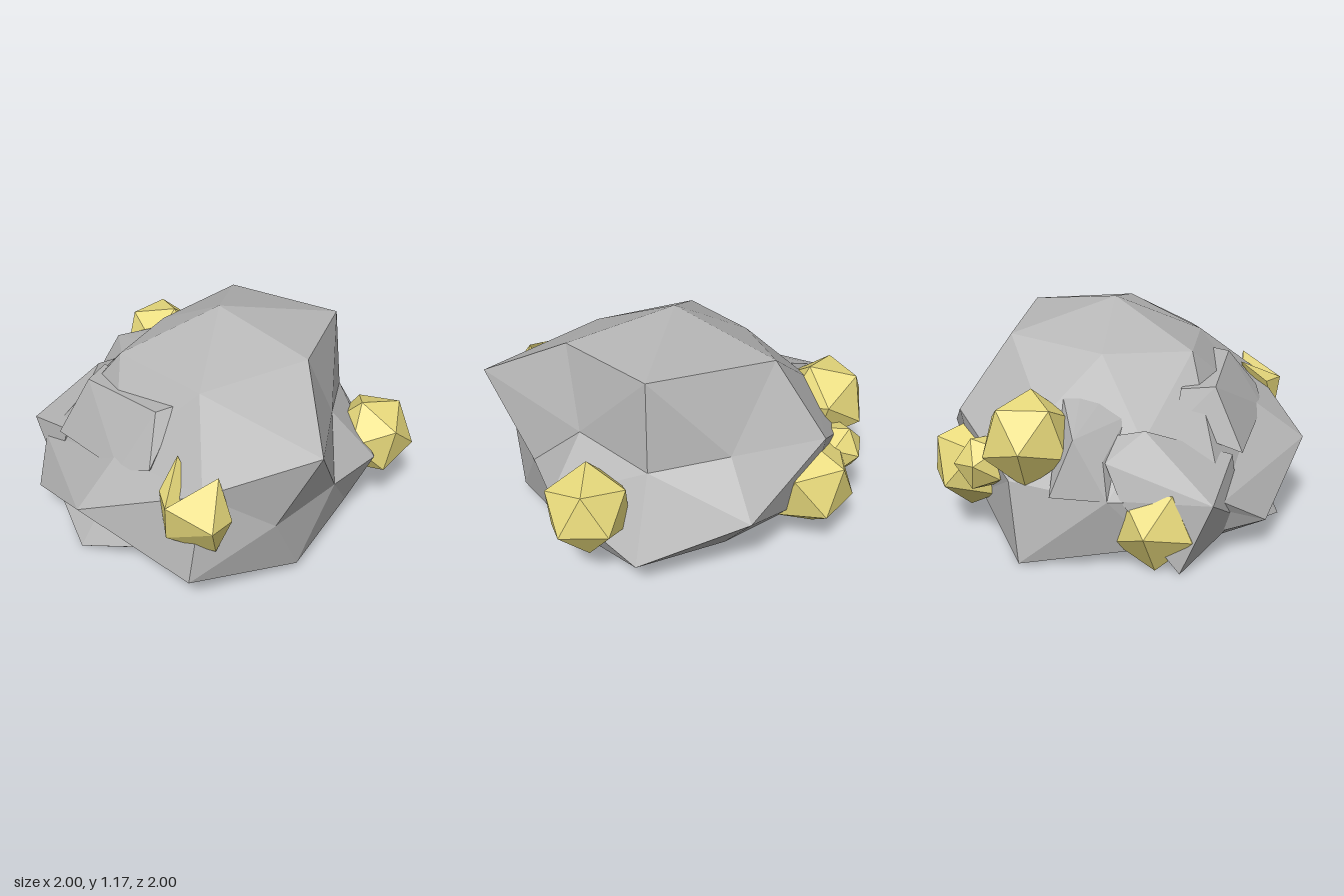
import * as THREE from 'three';
import { ConvexGeometry } from 'three/addons/geometries/ConvexGeometry.js';

const stone = new THREE.MeshStandardMaterial({ color: 0xb4b4b4, flatShading: true });
stone.name = 'grey stone';
const gold = new THREE.MeshStandardMaterial({ color: 0xe8da7c, flatShading: true });
gold.name = 'pale gold';

// Sculpted corners of the boulder, keyed by the direction (x10) of the sphere corner they replace
const CORNERS = {
  // crown
  '0,10,0': [0.02, 1.18, -0.05],
  '5,9,0': [0.62, 1.08, -0.05], '-5,9,0': [-0.41, 0.96, -0.05],
  '3,8,5': [0.3, 0.95, 0.4], '-3,8,5': [-0.28, 0.96, 0.4],
  '3,8,-5': [0.4, 1.08, -0.59], '-3,8,-5': [-0.32, 1.03, -0.55],
  // shoulders
  '0,5,9': [0.02, 0.61, 0.73], '0,5,-9': [0.02, 0.67, -0.76],
  '8,5,3': [0.99, 0.83, 0.29], '8,5,-3': [0.64, 0.68, -0.27],
  '-8,5,3': [-0.7, 0.6, 0.2], '-8,5,-3': [-0.7, 0.7, -0.3],
  '5,3,8': [0.61, 0.65, 0.71], '5,3,-8': [0.42, 0.61, -0.65],
  '-5,3,8': [-0.74, 0.33, 0.6], '-5,3,-8': [-0.5, 0.66, -0.79],
  // waist
  '0,0,10': [0.02, 0.42, 1], '0,0,-10': [0.02, 0.42, -1],
  '10,0,0': [0.84, 0.42, -0.05], '-10,0,0': [-0.92, 0.37, 0.06],
  '9,0,5': [0.83, 0.42, 0.42], '9,0,-5': [0.85, 0.42, -0.4],
  '-9,0,5': [-0.82, 0.35, 0.45], '-9,0,-5': [-0.85, 0.42, -0.44],
  // underside
  '5,-3,8': [0.61, 0.17, 0.81], '-5,-3,8': [-0.56, 0.17, 0.81],
  '5,-3,-8': [0.56, 0.2, -0.83], '-5,-3,-8': [-0.5, 0.2, -0.69],
  '0,-5,9': [0.02, 0.08, 0.74], '0,-5,-9': [0.02, 0.1, -0.72],
  '8,-5,3': [0.84, 0.07, 0.24], '8,-5,-3': [0.74, 0.12, -0.32],
  '-8,-5,3': [-0.84, 0.11, 0.28], '-8,-5,-3': [-0.93, 0.02, -0.38],
  // base
  '3,-8,5': [0.5, 0.02, 0.6], '-3,-8,5': [-0.45, 0.02, 0.58],
  '3,-8,-5': [0.38, 0.02, -0.6], '-3,-8,-5': [-0.38, 0.02, -0.55],
  '5,-9,0': [0.62, 0.02, 0.05], '-5,-9,0': [-0.6, 0.02, 0.02],
  '0,-10,0': [0.02, 0.02, 0],
};

function boulderGeometry() {
  const geo = new THREE.IcosahedronGeometry(1, 1);
  const p = geo.attributes.position;
  for (let i = 0; i < p.count; i++) {
    const key = [p.getX(i), p.getY(i), p.getZ(i)].map((v) => Math.round(v * 10)).join();
    p.setXYZ(i, ...CORNERS[key]);
  }
  geo.computeVertexNormals();
  return geo;
}

export function createModel() {
  const group = new THREE.Group();
  const add = (name, geo, mat) => {
    const mesh = new THREE.Mesh(geo, mat);
    mesh.name = name;
    group.add(mesh);
    return mesh;
  };
  const chunk = (name, mat, pts) =>
    add(name, new ConvexGeometry(pts.map((q) => new THREE.Vector3(...q))), mat);

  add('boulder', boulderGeometry(), stone);

  // Slab jutting from the front face
  chunk('frontSlab', stone, [
    [0.21, 0.87, 0.44], [0.16, 0.86, 0.57], [-0.4, 0.81, 0.53], [-0.46, 0.81, 0.36],
    [-0.56, 0.64, 0.34], [-0.5, 0.5, 0.68], [0.08, 0.57, 0.77], [0.27, 0.64, 0.73],
    [-0.2, 0.5, 0.4], [0.15, 0.6, 0.4],
  ]);
  // Low outcrop at the front corner
  chunk('cornerOutcrop', stone, [
    [-0.71, 0.63, 0.05], [-0.7, 0.66, 0.21], [-0.89, 0.37, 0.56], [-0.92, 0.02, 0.41],
    [-0.75, 0.33, 0.6], [-0.9, 0.37, 0.12], [-0.56, 0.18, 0.68], [-0.55, 0.04, 0.42],
    [-0.5, 0.3, 0.2], [-0.5, 0.49, 0.63], [-0.85, 0.54, 0.04],
  ]);
  // Plate on the side
  chunk('sidePlate', stone, [
    [-0.88, 0.66, -0.11], [-0.56, 0.8, -0.23], [-0.47, 0.83, -0.14], [-0.47, 0.8, 0],
    [-0.6, 0.7, 0.11], [-0.86, 0.55, 0.03], [-0.92, 0.37, 0.06], [-0.93, 0.38, -0.22],
    [-0.5, 0.4, -0.1],
  ]);
  // Toe under the front edge
  chunk('frontToe', stone, [
    [-0.13, 0.02, 0.88], [-0.13, 0.16, 0.76], [0.18, 0.13, 0.78], [-0.42, 0.1, 0.76],
    [-0.4, 0.02, 0.6], [0.2, 0.02, 0.6],
  ]);

  // Notched front nugget: a core and two horns
  const tip = [0.52, 0.62, 0.87], side = [0.74, 0.53, 0.78], low = [0.49, 0.41, 0.84];
  const root = [0.56, 0.52, 0.65], rear = [0.73, 0.52, 0.63];
  chunk('frontNuggetCore', gold, [tip, side, low, root, rear, [0.68, 0.34, 0.69]]);
  chunk('frontNuggetHorn', gold, [tip, low, root, [0.38, 0.74, 0.64], [0.4, 0.62, 0.79]]);
  chunk('frontNuggetHorn', gold, [tip, side, root, rear, [0.65, 0.74, 0.64]]);

  // Gold nuggets: x, y, z, radius, turn
  const nuggets = [
    [0.71, 0.435, -0.575, 0.235, 0.9],
    [-0.745, 0.61, -0.36, 0.245, 0.3],
    [-0.69, 0.45, -0.61, 0.15, 1.2],
    [-0.46, 0.37, -0.72, 0.255, 0.7],
    [-0.775, 0.22, 0.28, 0.235, 0.2],
  ];
  for (const [x, y, z, r, turn] of nuggets) {
    const nugget = add('goldNugget', new THREE.IcosahedronGeometry(r, 0), gold);
    nugget.position.set(x, y, z);
    nugget.rotation.set(turn, turn * 2, 0);
  }
  return group;
}
